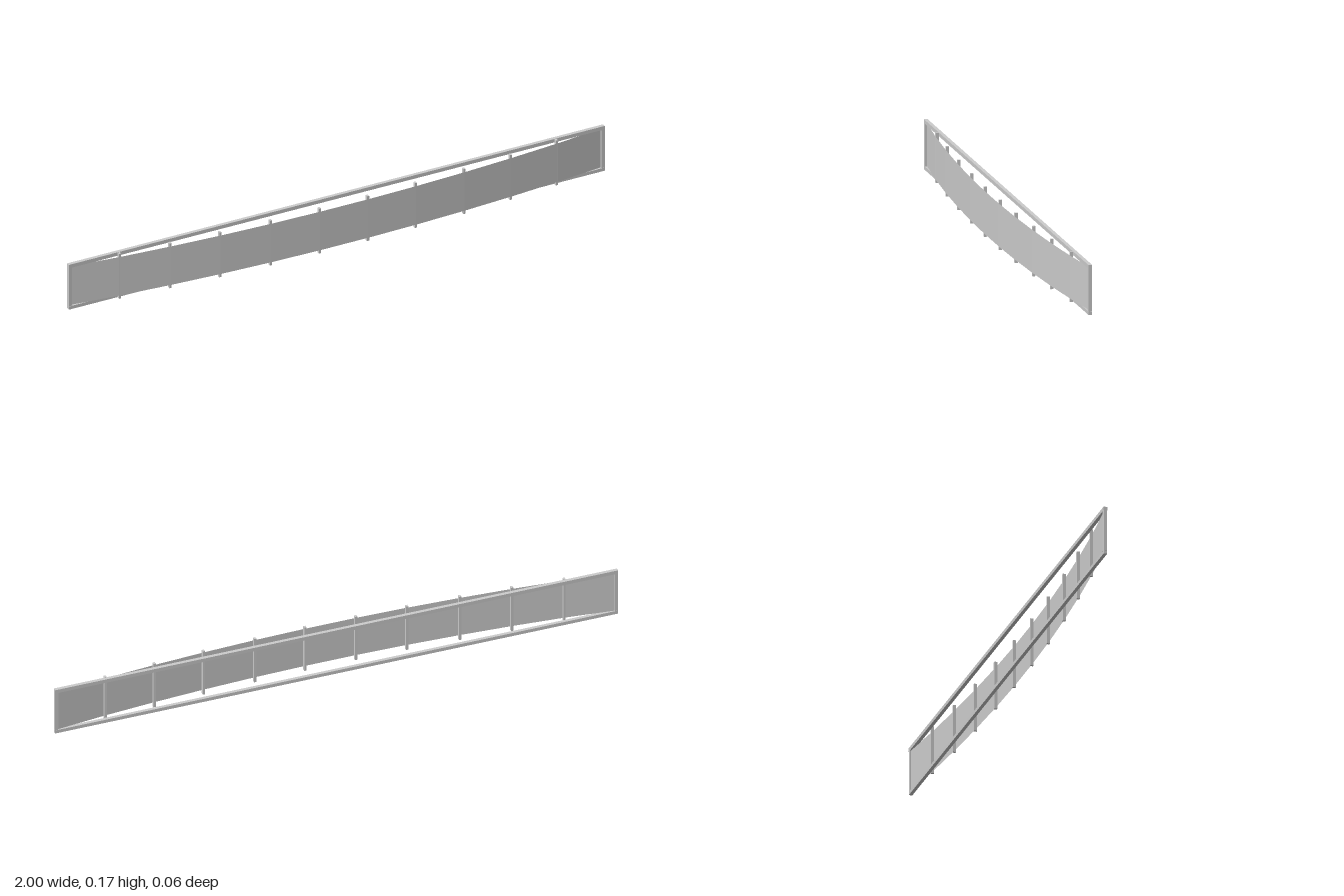
import * as THREE from 'three';

const material = new THREE.MeshStandardMaterial({ color: 0xcccccc, flatShading: true });
const sheetMaterial = new THREE.MeshStandardMaterial({ color: 0xcccccc, flatShading: true, side: THREE.DoubleSide });

const HEIGHT = 0.171;
const BAR = 0.012;
const FRAME_Z = -0.025;
const POST_X = [0.09, 0.27, 0.455, 0.635, 0.815];
const POST_DEPTH = 0.0105;

// depth of the shallow bow at a given x
const bowZ = (x) => 0.028 - 0.06 * x * x;

function box(name, w, h, d, x, y, z) {
  const mesh = new THREE.Mesh(new THREE.BoxGeometry(w, h, d), material);
  mesh.name = name;
  mesh.position.set(x, y, z);
  return mesh;
}

export function createModel() {
  const model = new THREE.Group();
  model.name = 'bowedFasciaPanel';

  // straight rectangular frame at the back
  const frame = new THREE.Group();
  frame.name = 'backFrame';
  frame.add(box('topRail', 2, 0.013, 0.0125, 0, HEIGHT - 0.0065, FRAME_Z));
  frame.add(box('bottomRail', 2, BAR, BAR, 0, BAR / 2, FRAME_Z));
  for (const side of [-1, 1]) {
    frame.add(box('endUpright', BAR, HEIGHT - 0.025, BAR, side * (1 - BAR / 2), HEIGHT / 2, FRAME_Z));
  }
  model.add(frame);

  // upright posts set out along the bow
  const posts = new THREE.Group();
  posts.name = 'posts';
  for (const x of POST_X) {
    for (const side of [-1, 1]) {
      posts.add(box('post', 0.008, HEIGHT, POST_DEPTH, side * x, HEIGHT / 2, bowZ(x)));
    }
  }
  model.add(posts);

  // thin flat sheets from post to post, running into the frame at both ends
  const half = POST_X.map((x) => [x, bowZ(x) + POST_DEPTH / 2 + 0.0003]);
  half.push([0.998, -0.028]);
  const path = [...half.map(([x, z]) => [-x, z]).reverse(), ...half];
  const sheets = new THREE.Group();
  sheets.name = 'sheets';
  for (let i = 0; i < path.length - 1; i++) {
    const [x0, z0] = path[i];
    const [x1, z1] = path[i + 1];
    const sheet = new THREE.Mesh(new THREE.PlaneGeometry(Math.hypot(x1 - x0, z1 - z0), 0.147), sheetMaterial);
    sheet.name = 'sheet';
    sheet.position.set((x0 + x1) / 2, HEIGHT / 2, (z0 + z1) / 2);
    sheet.rotation.y = -Math.atan2(z1 - z0, x1 - x0);
    sheets.add(sheet);
  }
  model.add(sheets);

  return model;
}
